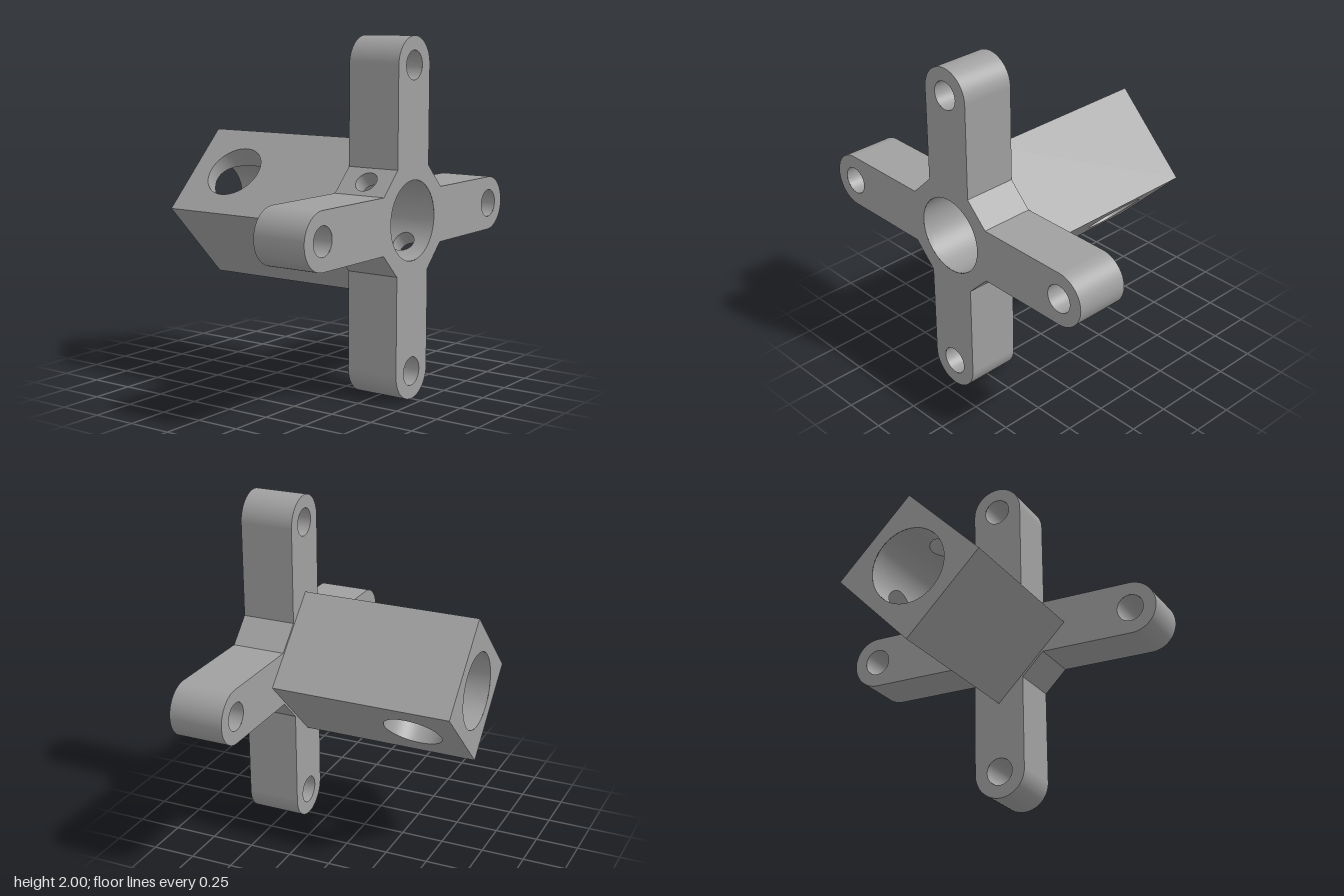
import * as THREE from 'three';
import { mergeGeometries, mergeVertices } from 'three/addons/utils/BufferGeometryUtils.js';

const BACK = -0.685, JOIN = 0.37, FRONT = 0.685; // z of block end, joint, plate face
const BORE = 0.222, ARM = 0.157, TIP = 0.843, PIN = 0.08, CORNER = 0.29, BLOCK = 0.43;
const SEG = 96;

// Surface grid from f(u, v); it faces along fu x fv
function grid(f, nu, nv) {
  const pos = [], idx = [];
  for (let i = 0; i <= nu; i++)
    for (let j = 0; j <= nv; j++) pos.push(...f(i / nu, j / nv));
  for (let i = 0; i < nu; i++)
    for (let j = 0; j < nv; j++) {
      const a = i * (nv + 1) + j, b = a + nv + 1;
      idx.push(a, b, b + 1, a, b + 1, a + 1);
    }
  const g = new THREE.BufferGeometry();
  g.setAttribute('position', new THREE.Float32BufferAttribute(pos, 3));
  g.setIndex(idx);
  return g;
}

// Weld and smooth a list of grids
function smooth(list) {
  const g = mergeVertices(mergeGeometries(list), 1e-4);
  g.computeVertexNormals();
  return g;
}

// Upright wall along a path of [x, y], facing right of travel
const wall = (path, z0, z1) => smooth([grid((u, v) => {
  const p = path[Math.round(u * (path.length - 1))];
  return [p[0], p[1], z0 + (z1 - z0) * v];
}, path.length - 1, 1)]);

function arc(cx, cy, r, a0, a1, n) {
  return Array.from({ length: n + 1 }, (_, i) => {
    const a = a0 + (a1 - a0) * i / n;
    return [cx + r * Math.cos(a), cy + r * Math.sin(a)];
  });
}

// Flat panel facing +x at distance d, with a round cross hole running into the bore
function pierced(d, half, z0, z1, zc, r) {
  const ring = v => {
    const a = v * Math.PI * 2, c = Math.cos(a), s = Math.sin(a);
    const m = Math.max(Math.abs(c), Math.abs(s)), q = s / m;
    return { y: r * c, z: zc + r * s, px: c / m, zr: q > 0 ? zc + q * (z1 - zc) : zc + q * (zc - z0) };
  };
  const mix = THREE.MathUtils.lerp;
  const panel = grid((u, v) => {
    const p = ring(v);
    return [d, mix(p.y, half * p.px, u), mix(p.z, p.zr, u)];
  }, 1, SEG);
  const hole = grid((u, v) => {
    const p = ring(v);
    return [mix(Math.sqrt(BORE * BORE - p.y * p.y), d, u), p.y, p.z];
  }, 1, SEG);
  const bore = grid((u, v) => {
    const p = ring(v);
    const a = mix(p.px * Math.PI / 2, Math.asin(p.y / BORE), u);
    return [BORE * Math.cos(a), BORE * Math.sin(a), mix(p.zr, p.z, u)];
  }, 14, SEG);
  return { panel, hole, bore };
}

// Flat cap with round holes
function cap(points, holes, z, facingBack) {
  const shape = new THREE.Shape(points.map(p => new THREE.Vector2(...p)));
  for (const [x, y, r] of holes) {
    shape.holes.push(new THREE.Path(arc(x, y, r, 0, Math.PI * 2, SEG).slice(0, -1).map(p => new THREE.Vector2(...p))));
  }
  const g = new THREE.ShapeGeometry(shape);
  if (facingBack) g.rotateY(Math.PI); // the outlines are mirror symmetric
  return g.translate(0, 0, z);
}

export function createModel() {
  const model = new THREE.Group();
  const metal = new THREE.MeshStandardMaterial({ color: 0xa0a0a0 });
  metal.name = 'plain grey';
  const body = new THREE.Group();
  body.position.y = 1;
  model.add(body);
  const add = (name, geometry, turn = 0) => {
    const mesh = new THREE.Mesh(geometry, metal);
    mesh.name = name;
    mesh.rotation.z = turn;
    body.add(mesh);
  };

  // Outline of one arm, repeated round the cross
  const arm = [[CORNER, -ARM], ...arc(TIP, 0, ARM, -Math.PI / 2, Math.PI / 2, 32), [CORNER, ARM]];
  const outline = [], pins = [];
  for (let i = 0; i < 4; i++) {
    const a = i * Math.PI / 2, c = Math.round(Math.cos(a)), s = Math.round(Math.sin(a));
    outline.push(...arm.map(([x, y]) => [x * c - y * s, x * s + y * c]));
    pins.push([TIP * c, TIP * s, PIN]);
    add('armSide', wall(arm, JOIN, FRONT), a);
    add('armPinHole', wall(arc(TIP, 0, PIN, Math.PI * 2, 0, 48), JOIN, FRONT), a);
  }
  const plateHoles = [[0, 0, BORE], ...pins];
  add('crossFrontFace', cap(outline, plateHoles, FRONT, false));
  add('crossBackFace', cap(outline, plateHoles, JOIN, true));

  // Square block end
  const diamond = [[BLOCK, 0], [0, BLOCK], [-BLOCK, 0], [0, -BLOCK]];
  add('blockEndFace', cap(diamond, [[0, 0, BORE]], BACK, true));

  // Drilled sides on one diagonal, plain sides on the other
  const chamfer = (CORNER + ARM) / Math.SQRT2, chamferHalf = (CORNER - ARM) / Math.SQRT2;
  const side = BLOCK / Math.SQRT2;
  const bores = [];
  for (const turn of [Math.PI * 0.75, -Math.PI / 4]) {
    const web = pierced(chamfer, chamferHalf, JOIN, FRONT, 0.528, 0.063);
    const block = pierced(side, side, BACK, JOIN, -0.39, 0.17);
    add('webFace', smooth([web.panel]), turn);
    add('setScrewHole', smooth([web.hole]), turn);
    add('blockSide', smooth([block.panel]), turn);
    add('blockCrossHole', smooth([block.hole]), turn);
    bores.push(web.bore.rotateZ(turn), block.bore.rotateZ(turn));
    const plain = turn + Math.PI / 2;
    add('webFace', wall([[chamfer, -chamferHalf], [chamfer, chamferHalf]], JOIN, FRONT), plain);
    add('blockSide', wall([[side, -side], [side, side]], BACK, JOIN), plain);
  }
  add('mainBore', smooth(bores));
  return model;
}
